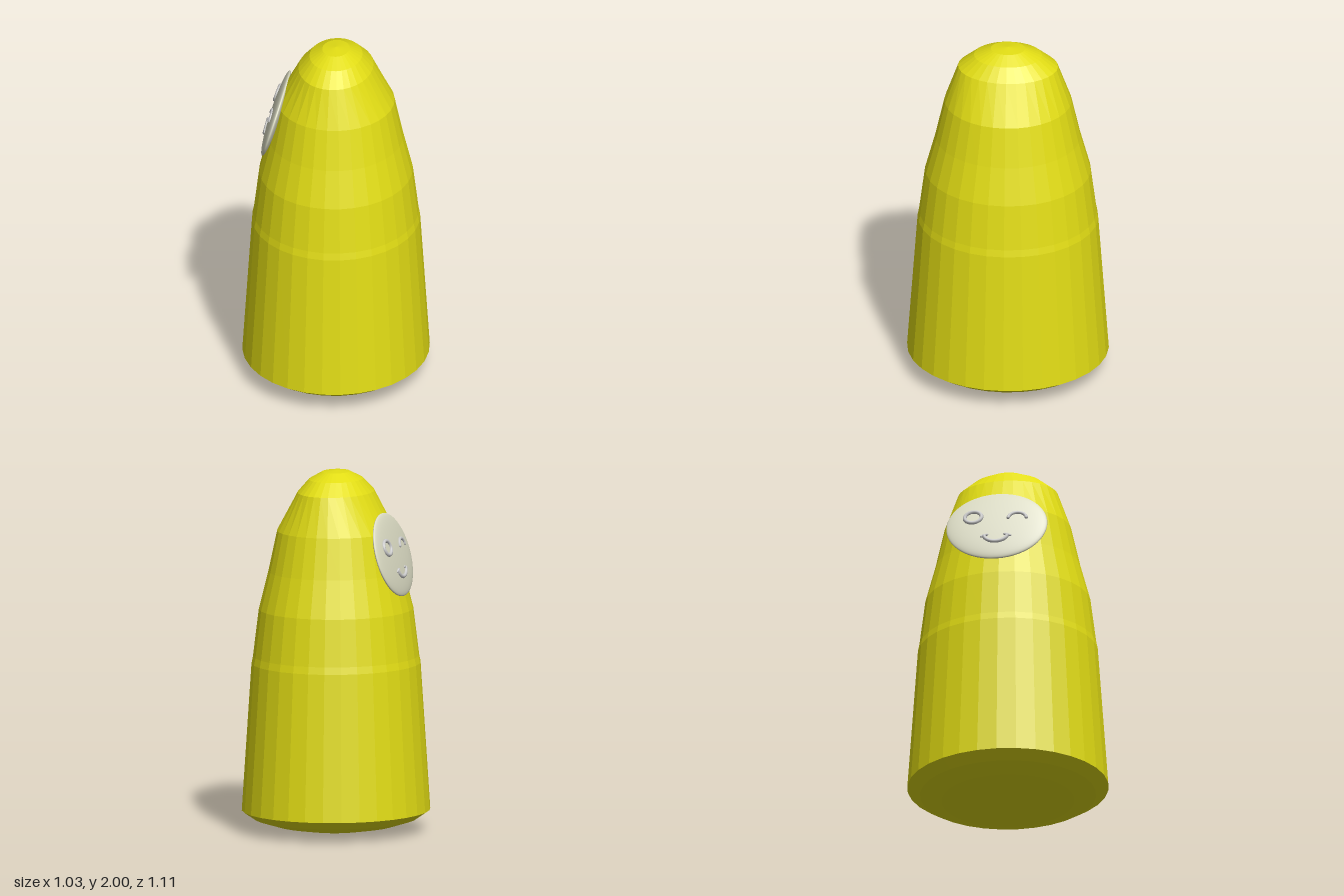
import * as THREE from 'three';

const YELLOW = new THREE.MeshStandardMaterial({ color: 0xe2dd14, flatShading: true });
const CREAM = new THREE.MeshStandardMaterial({ color: 0xdcdcc4 });
const GREY = new THREE.MeshStandardMaterial({ color: 0xcccccc });

// Half sizes of the face plate
const PLATE = { x: 0.28, y: 0.235, z: 0.03 };

function add(parent, name, geometry, material) {
  const mesh = new THREE.Mesh(geometry, material);
  mesh.name = name;
  parent.add(mesh);
  return mesh;
}

// Faceted body: oval rings [half width, half depth, height] from bottom to top
function bodyGeometry() {
  const rings = [
    [0, 0, 0], [0.2, 0.215, 0.01], [0.34, 0.365, 0.035], [0.45, 0.485, 0.07], [0.515, 0.555, 0.115],
    [0.462, 0.497, 0.93], [0.454, 0.489, 0.97], [0.422, 0.456, 1.23], [0.37, 0.4, 1.44],
    [0.322, 0.35, 1.665], [0.205, 0.275, 1.88], [0.145, 0.187, 1.95], [0.075, 0.095, 1.99], [0, 0, 2],
  ];
  const geometry = new THREE.LatheGeometry(rings.map(([w, , y]) => new THREE.Vector2(w, y)), 32);
  const pos = geometry.attributes.position;
  for (let i = 0; i < pos.count; i++) {
    const [w, d] = rings[i % rings.length];
    if (w > 0) pos.setZ(i, pos.getZ(i) * d / w);
  }
  geometry.computeVertexNormals();
  return geometry;
}

// A tube that follows flat points along the curved front of the plate
function lineOnPlate(points, radius, closed = false) {
  const path = points.map(([x, y]) => new THREE.Vector3(
    x, y, PLATE.z * Math.sqrt(Math.max(0, 1 - (x / PLATE.x) ** 2 - (y / PLATE.y) ** 2))));
  return new THREE.TubeGeometry(new THREE.CatmullRomCurve3(path, closed), 32, radius, 8, closed);
}

// Arc of points on an ellipse
function arc(cx, cy, rx, ry, from, to, count) {
  return Array.from({ length: count }, (_, i) => {
    const a = from + (to - from) * i / (count - 1);
    return [cx + rx * Math.cos(a), cy + ry * Math.sin(a)];
  });
}

// Adds an arc with rounded ends
function addStroke(parent, name, points, radius) {
  const mesh = add(parent, name, lineOnPlate(points, radius), GREY);
  const path = mesh.geometry.parameters.path;
  for (const t of [0, 1]) {
    add(mesh, name + 'End', new THREE.SphereGeometry(radius, 8, 6), GREY).position.copy(path.getPoint(t));
  }
}

export function createModel() {
  const model = new THREE.Group();
  model.name = 'hoodedFigure';
  add(model, 'body', bodyGeometry(), YELLOW);

  // Oval face leaning back against the side of the body
  const face = new THREE.Group();
  face.name = 'face';
  face.position.set(-0.335, 1.545, -0.02);
  face.rotation.set(-0.29, -Math.PI / 2, 0, 'YXZ');
  model.add(face);
  add(face, 'facePlate', new THREE.SphereGeometry(1, 48, 32), CREAM).scale.set(PLATE.x, PLATE.y, PLATE.z);

  // Open eye, winking eye and smile with short corner lines
  add(face, 'openEye', lineOnPlate(arc(-0.13, 0.05, 0.047, 0.04, 0, Math.PI * 15 / 8, 16), 0.011, true), GREY);
  addStroke(face, 'winkingEye', arc(0.115, 0.03, 0.05, 0.04, 0.1, Math.PI - 0.1, 9), 0.01);
  addStroke(face, 'smile', arc(0, -0.085, 0.065, 0.045, Math.PI + 0.1, Math.PI * 2 - 0.1, 9), 0.011);
  for (const s of [-1, 1]) {
    addStroke(face, 'smileCorner', [[s * 0.048, -0.083], [s * 0.064, -0.086], [s * 0.08, -0.094]], 0.007);
  }
  return model;
}
